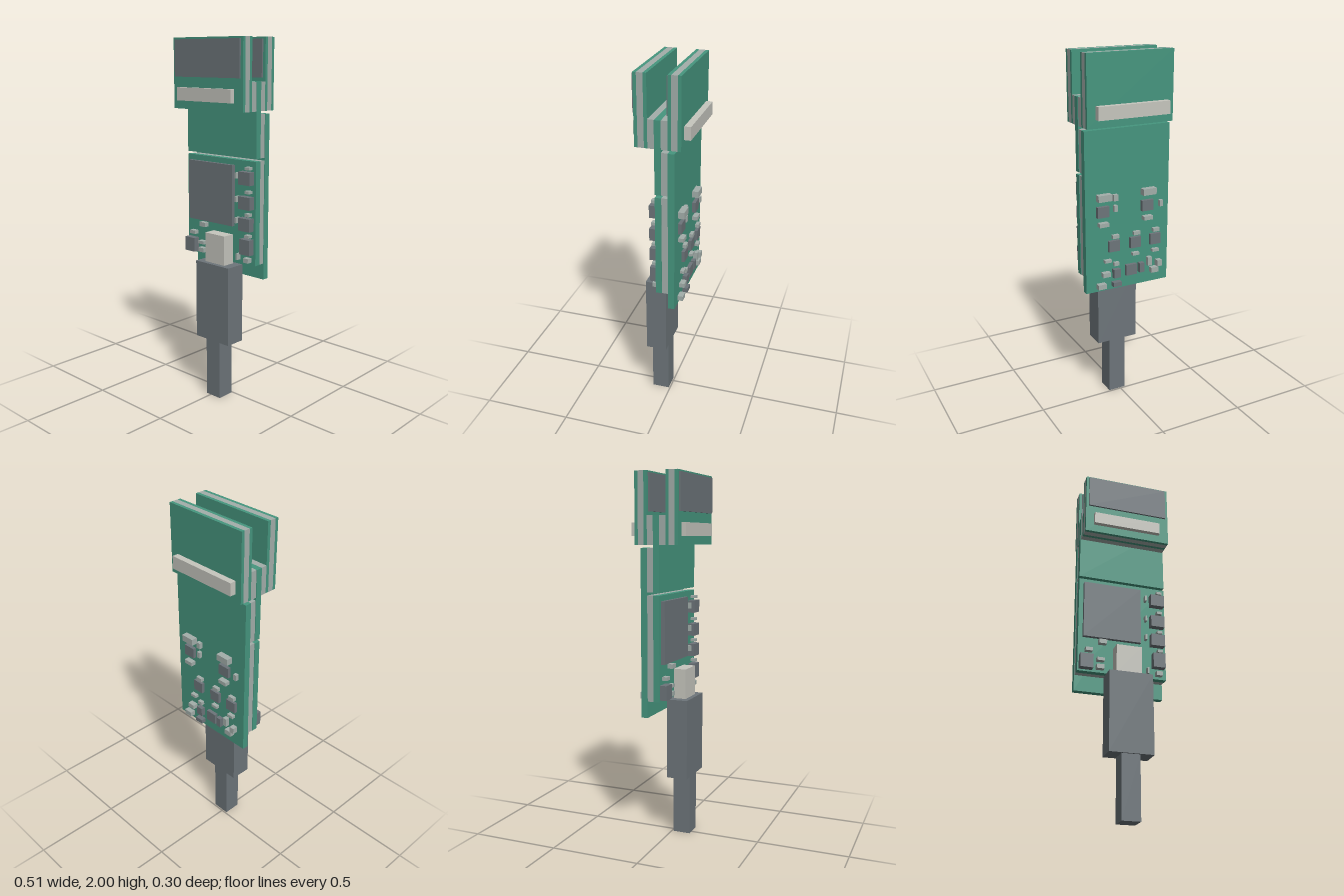
import * as THREE from 'three';

const mat = (name, color) => {
  const m = new THREE.MeshStandardMaterial({ color });
  m.name = name;
  return m;
};

export function createModel() {
  const green = mat('board green', 0x46967f);
  const core = mat('core grey', 0xa3aeaa);
  const dark = mat('chip grey', 0x6d757a);
  const pale = mat('pale metal', 0xc6c6be);

  const model = new THREE.Group();
  model.name = 'circuitBoardAssembly';

  const group = (name) => {
    const g = new THREE.Group();
    g.name = name;
    model.add(g);
    return g;
  };

  // Box given by its limits on each axis
  const box = (parent, name, material, x0, x1, y0, y1, z0, z1) => {
    const mesh = new THREE.Mesh(new THREE.BoxGeometry(x1 - x0, y1 - y0, z1 - z0), material);
    mesh.position.set((x0 + x1) / 2, (y0 + y1) / 2, (z0 + z1) / 2);
    mesh.name = name;
    parent.add(mesh);
  };

  // Two upright sandwich boards with a screen on the front and a metal bar outside
  const addHead = (name, z, barX0, barX1, barZ0, barZ1) => {
    const g = group(name);
    box(g, 'rearLayer', green, -0.25, 0.25, 1.625, 2, z, z + 0.018);
    box(g, 'coreLayer', core, -0.25, 0.25, 1.625, 2, z + 0.018, z + 0.051);
    box(g, 'frontLayer', green, -0.25, 0.25, 1.625, 2, z + 0.051, z + 0.069);
    box(g, 'screen', dark, -0.234, 0.234, 1.795, 1.99, z + 0.069, z + 0.079);
    box(g, 'pinBar', pale, barX0, barX1, 1.67, 1.74, barZ0, barZ1);
  };
  addHead('frontHead', 0.056, -0.202, 0.19, 0.125, 0.15);
  addHead('rearHead', -0.117, -0.214, 0.202, -0.152, -0.117);

  // Middle board and the spacers joining it to the heads
  const middle = group('middleBoard');
  box(middle, 'board', green, -0.253, 0.253, 1.38, 1.775, -0.013, 0.021);
  box(middle, 'frontSpacer', core, -0.25, 0.25, 1.625, 1.775, 0.021, 0.056);
  box(middle, 'rearSpacer', core, -0.25, 0.25, 1.625, 1.775, -0.048, -0.013);
  box(middle, 'lowerSpacer', core, -0.25, 0.25, 1.38, 1.61, -0.048, -0.013);

  // Main board stack
  const main = group('mainBoards');
  box(main, 'rearBoard', green, -0.253, 0.253, 0.71, 1.61, -0.083, -0.048);
  box(main, 'spacer', core, -0.25, 0.25, 0.8, 1.365, -0.048, -0.013);
  box(main, 'frontBoard', green, -0.253, 0.253, 0.8, 1.365, -0.013, 0.021);

  // Front components: x0, x1, y0, y1
  const front = group('frontComponents');
  box(front, 'processor', dark, -0.228, 0.103, 1, 1.335, 0.021, 0.042);
  const frontChips = [
    [0.16, 0.24, 1.24, 1.31], [0.16, 0.24, 1.108, 1.177], [0.16, 0.24, 0.99, 1.06],
    [0.17, 0.24, 0.86, 0.945], [-0.245, -0.172, 0.81, 0.89],
  ];
  for (const c of frontChips) box(front, 'chip', dark, ...c, 0.021, 0.058);
  const frontCaps = [
    [-0.14, -0.095, 0.965, 0.99], [-0.215, -0.175, 0.912, 0.932],
    [-0.15, -0.108, 0.862, 0.88], [-0.15, -0.108, 0.815, 0.84],
    [0.19, 0.225, 0.815, 0.84], [0.137, 0.148, 0.82, 0.856],
  ];
  for (const y of [1.32, 1.193, 1.07, 0.953]) frontCaps.push([0.198, 0.228, y, y + 0.016]);
  for (const y of [1.268, 1.14, 1.024]) frontCaps.push([0.128, 0.139, y, y + 0.032]);
  for (const c of frontCaps) box(front, 'capacitor', core, ...c, 0.021, 0.05);

  // Back components: centre x, centre y, width, height, depth
  const back = group('backComponents');
  const addBack = (name, material, list) => {
    for (const [x, y, w, h, d] of list) {
      box(back, name, material, x - w / 2, x + w / 2, y - h / 2, y + h / 2, -0.083 - d, -0.083);
    }
  };
  addBack('chip', dark, [
    [0.154, 1.17, 0.07, 0.06, 0.02], [-0.115, 1.17, 0.07, 0.06, 0.02],
    [0.089, 0.967, 0.065, 0.062, 0.018], [-0.043, 0.967, 0.065, 0.062, 0.018],
    [-0.168, 0.967, 0.065, 0.062, 0.018], [-0.016, 0.81, 0.065, 0.062, 0.02],
    [0.075, 0.805, 0.04, 0.05, 0.025], [0.075, 0.743, 0.05, 0.025, 0.03],
    [-0.08, 0.812, 0.03, 0.055, 0.025],
  ]);
  addBack('capacitor', core, [
    [0.15, 1.25, 0.08, 0.036, 0.035], [-0.12, 1.25, 0.08, 0.036, 0.035],
    [0.154, 1.1, 0.055, 0.022, 0.03], [-0.115, 1.1, 0.055, 0.022, 0.03],
    [0.08, 1.24, 0.025, 0.035, 0.02], [0.08, 1.18, 0.02, 0.035, 0.02],
    [-0.2, 1.17, 0.02, 0.035, 0.02],
    [0.08, 1.02, 0.04, 0.02, 0.02], [-0.05, 1.02, 0.04, 0.02, 0.02], [-0.172, 1.02, 0.04, 0.02, 0.02],
    [0.128, 0.885, 0.04, 0.016, 0.022], [-0.043, 0.9, 0.04, 0.016, 0.022], [-0.168, 0.9, 0.04, 0.016, 0.022],
    [0.14, 0.81, 0.045, 0.025, 0.03], [0.168, 0.745, 0.05, 0.028, 0.03],
    [0.075, 0.86, 0.03, 0.02, 0.02], [-0.13, 0.84, 0.025, 0.05, 0.025],
    [-0.16, 0.785, 0.045, 0.03, 0.03], [-0.19, 0.82, 0.03, 0.035, 0.03],
  ]);

  // Cable with plug
  const cable = group('cable');
  box(cable, 'plug', pale, -0.053, 0.09, 0.785, 0.95, 0.021, 0.091);
  box(cable, 'plugHousing', dark, -0.1, 0.143, 0.34, 0.785, 0, 0.117);
  box(cable, 'cord', dark, -0.031, 0.07, 0, 0.34, 0.008, 0.107);

  return model;
}
